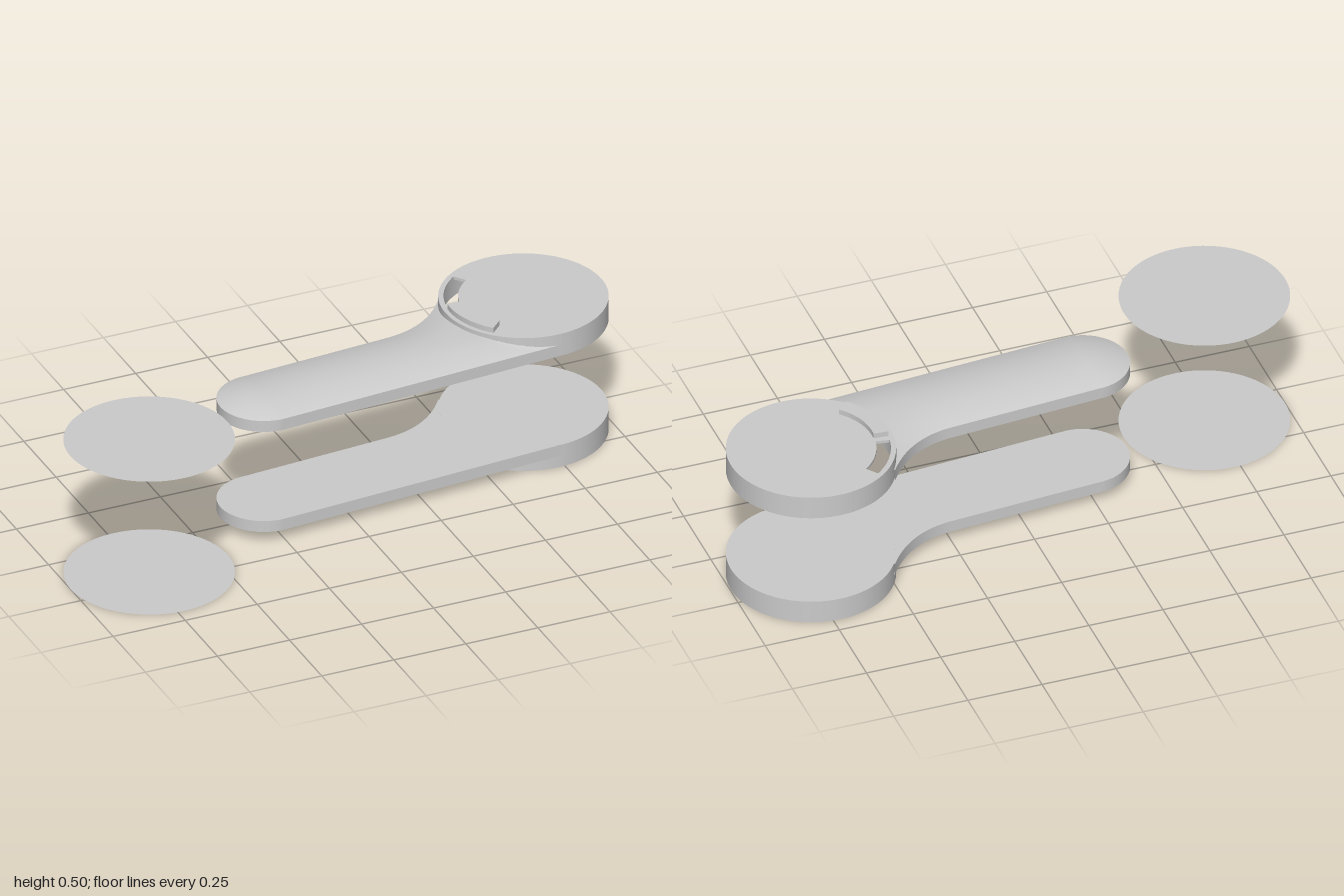
import * as THREE from 'three';

const TOP = 0.485, BASE = 0.405, EDGE = 0.445, DOME = 0.026;
const HEAD = { x: 0.727, z: -0.177, r: 0.27 };
const DISC = { x: -0.728, z: 0.172, r: 0.272 };
const CAP = { x: -0.26, z: 0.015, r: 0.15 };
const SLOPE = -0.0725;
const mat = new THREE.MeshStandardMaterial({ color: 0xcccccc, side: THREE.DoubleSide });

function mesh(name, geo, x = 0, y = 0, z = 0) {
  const m = new THREE.Mesh(geo, mat);
  m.name = name;
  m.position.set(x, y, z);
  return m;
}

// Smooth surface through rows of [x, y, z] points
function surface(rows) {
  const n = rows[0].length, index = [];
  for (let i = 0; i < rows.length - 1; i++)
    for (let j = 0; j < n - 1; j++) {
      const a = i * n + j, b = a + n;
      index.push(a, a + 1, b, b, a + 1, b + 1);
    }
  const g = new THREE.BufferGeometry();
  g.setAttribute('position', new THREE.Float32BufferAttribute(rows.flat(2), 3));
  g.setIndex(index);
  g.computeVertexNormals();
  return g;
}

// Ribs across the handle, from the round tip to the flare at the head
function ribs(inset) {
  const r = CAP.r - inset, out = [];
  for (let i = 0; i <= 20; i++) {
    const a = (i / 20) * Math.PI / 2;
    const x = CAP.x - r * Math.cos(a), w = r * Math.sin(a);
    out.push([[x, CAP.z - w], [x, CAP.z + w]]);
  }
  const side = (x, s) => CAP.z + s * r + SLOPE * (x - CAP.x);
  for (let i = 1; i <= 8; i++) {
    const x = CAP.x + (0.25 - CAP.x) * i / 8;
    out.push([[x, side(x, -1)], [x, side(x, 1)]]);
  }
  const flare = new THREE.QuadraticBezierCurve(
    new THREE.Vector2(0.25, side(0.25, -1)),
    new THREE.Vector2(0.40, side(0.40, -1)),
    new THREE.Vector2(0.5 + inset * 0.8, -0.33 + inset * 0.5));
  for (let i = 1; i <= 24; i++) {
    const p = flare.getPoint(i / 24), x = 0.25 + 0.495 * i / 24;
    out.push([[p.x, p.y], [x, side(x, 1)]]);
  }
  return out;
}

// Points falling inside the round head are moved out to its wall
function clip(x, z) {
  const dx = x - HEAD.x, dz = z - HEAD.z, d = Math.hypot(dx, dz);
  const k = d < HEAD.r - 0.002 ? (HEAD.r - 0.002) / d : 1;
  return [HEAD.x + dx * k, HEAD.z + dz * k];
}

function outline(inset) {
  const r = ribs(inset);
  return [...r.map(p => p[1]).reverse(), ...r.slice(1).map(p => p[0])].map(p => clip(...p));
}

function wall(inset, y0, y1) {
  return surface(outline(inset).map(([x, z]) => [[x, y0, z], [x, y1, z]]));
}

// Skin over the ribs, rising by `rise` away from the edge
function skin(inset, y, rise, flip = 1) {
  return surface(ribs(inset).map(([a, b]) => {
    const half = Math.hypot(a[0] - b[0], a[1] - b[1]) / 2, row = [];
    for (let j = 0; j <= 24; j++) {
      const v = -Math.cos(Math.PI * j / 24), t = (v + 1) / 2;
      const x0 = a[0] + (b[0] - a[0]) * t, z0 = a[1] + (b[1] - a[1]) * t;
      const d = x0 < CAP.x
        ? CAP.r - inset - Math.hypot(x0 - CAP.x, z0 - CAP.z)
        : half * (1 - Math.abs(v));
      const u = 1 - Math.min(Math.max(d / CAP.r, 0), 1);
      const [x, z] = clip(x0, z0);
      row.push([x, y + flip * rise * (1 - u * u), z]);
    }
    return row;
  }));
}

// Ring sector, angles in degrees, seen from above
function sector(r0, r1, from, to, Type) {
  const s = new Type(), a = THREE.MathUtils.degToRad(from), b = THREE.MathUtils.degToRad(to);
  s.absarc(0, 0, r1, a, b, false);
  s.absarc(0, 0, r0, b, a, true);
  s.closePath();
  return s;
}

function circle(r, Type) {
  const s = new Type();
  s.absarc(0, 0, r, 0, Math.PI * 2, false);
  return s;
}

function slab(shape, depth) {
  return new THREE.ExtrudeGeometry(shape, { depth, bevelEnabled: false, curveSegments: 64 })
    .rotateX(-Math.PI / 2);
}

function upperShell() {
  const g = new THREE.Group();
  g.name = 'upperShell';
  const t = 0.01;

  // Hollow handle with a thin wall
  g.add(mesh('handleWall', wall(0, BASE, EDGE)));
  g.add(mesh('handleDome', skin(0, EDGE, DOME)));
  g.add(mesh('handleInnerWall', wall(t, BASE, EDGE - t)));
  g.add(mesh('handleInnerDome', skin(t, EDGE - t, DOME)));
  const inner = outline(t);
  g.add(mesh('handleRim', surface(outline(0).map(([x, z], i) =>
    [[x, BASE, z], [inner[i][0], BASE, inner[i][1]]]))));

  // Round head: rim wall, deck with a curved window, raised curved tab
  const ring = circle(HEAD.r, THREE.Shape);
  ring.holes.push(circle(HEAD.r - t, THREE.Path));
  g.add(mesh('headRim', slab(ring, TOP - BASE), HEAD.x, BASE, HEAD.z));
  const deck = circle(HEAD.r - t, THREE.Shape);
  deck.holes.push(sector(0.207, 0.253, 127, 170, THREE.Path));
  g.add(mesh('headDeck', slab(deck, t), HEAD.x, TOP - t, HEAD.z));
  g.add(mesh('raisedTab', slab(sector(0.205, 0.255, 175, 224, THREE.Shape), 0.018),
    HEAD.x, TOP, HEAD.z));
  return g;
}

function lowerShell() {
  const g = new THREE.Group();
  g.name = 'lowerShell';
  const lid = TOP - BASE, edge = TOP - EDGE;
  g.add(mesh('handleWall', wall(0, edge, lid)));
  g.add(mesh('handleBelly', skin(0, edge, DOME, -1)));
  g.add(mesh('handleLid', skin(0, lid, 0)));
  g.add(mesh('head', new THREE.CylinderGeometry(HEAD.r, HEAD.r, lid, 96), HEAD.x, lid / 2, HEAD.z));
  return g;
}

export function createModel() {
  const model = new THREE.Group();
  model.name = 'handleKit';
  model.add(upperShell(), lowerShell());
  // Loose flat discs beside the shells
  const flat = new THREE.CircleGeometry(DISC.r, 96).rotateX(-Math.PI / 2);
  model.add(mesh('upperDisc', flat, DISC.x, TOP, DISC.z));
  model.add(mesh('lowerDisc', flat, DISC.x, 0, DISC.z));
  return model;
}
